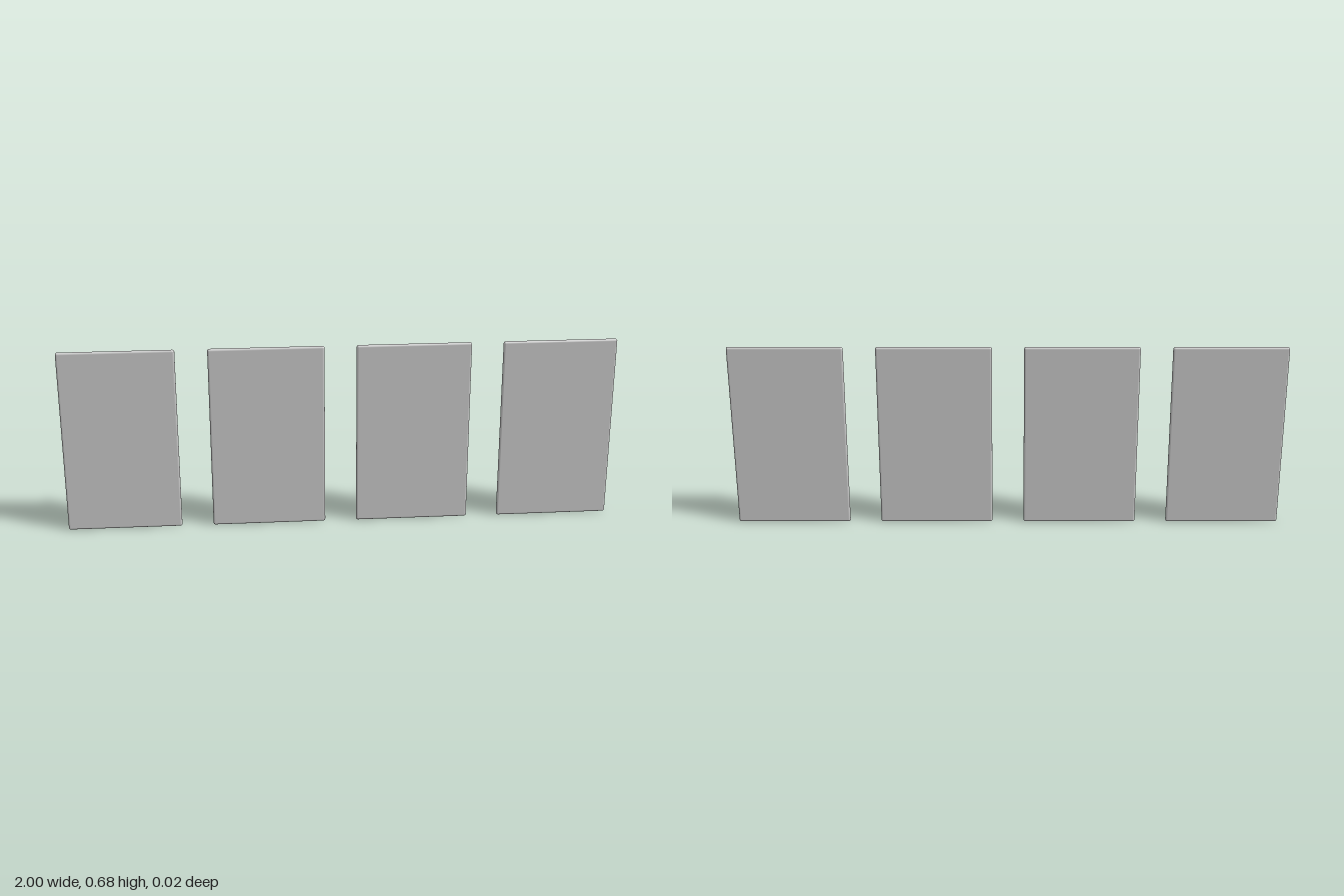
import * as THREE from 'three';
import { RoundedBoxGeometry } from 'three/addons/geometries/RoundedBoxGeometry.js';

const COUNT = 4;
const WIDTH = 0.414;
const HEIGHT = 0.679;
const THICKNESS = 0.016;
const EDGE_RADIUS = 0.0075;

export function createModel() {
  const group = new THREE.Group();
  group.name = 'panelRow';

  const material = new THREE.MeshStandardMaterial({ color: 0xcccccc });
  const geometry = new RoundedBoxGeometry(WIDTH, HEIGHT, THICKNESS, 4, EDGE_RADIUS);

  // Evenly spaced thin panels with rounded edges, spanning x = -1 to 1
  const pitch = (2 - WIDTH) / (COUNT - 1);
  for (let i = 0; i < COUNT; i++) {
    const panel = new THREE.Mesh(geometry, material);
    panel.name = `panel${i + 1}`;
    panel.position.set((i - (COUNT - 1) / 2) * pitch, HEIGHT / 2, 0);
    group.add(panel);
  }
  return group;
}
